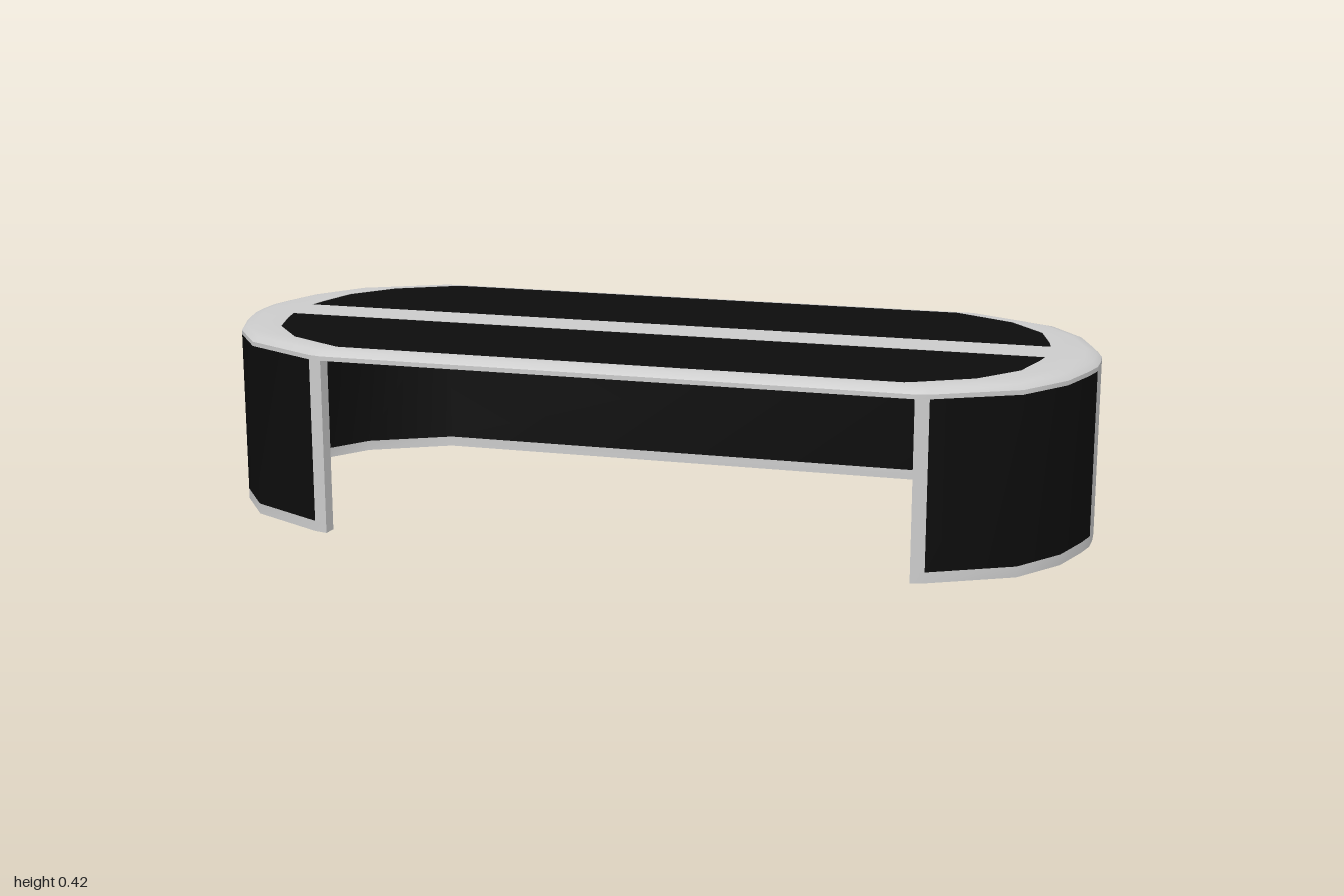
import * as THREE from 'three';
import { toCreasedNormals } from 'three/addons/utils/BufferGeometryUtils.js';

const grey = new THREE.MeshStandardMaterial({ color: 0xcccccc });
const black = new THREE.MeshStandardMaterial({ color: 0x0c0c0c });

// Plan outlines [x, z]: right half from front to back, mirrored to the left
const mirrorX = (half) => [...half, ...half.map(([x, z]) => [-x, z]).reverse()];
const outer = mirrorX([
  [0.66, 0.41], [0.69, 0.403], [0.87, 0.31], [0.95, 0.2], [0.985, 0.1], [0.998, 0.05], [1, 0],
  [0.998, -0.05], [0.985, -0.1], [0.95, -0.2], [0.87, -0.31], [0.67, -0.415],
]);
const quarter = [[0.63, 0.375], [0.64, 0.372], [0.77, 0.3], [0.85, 0.2], [0.877, 0.1], [0.886, 0.05]];
const inner = mirrorX([
  ...quarter, [0.886, 0],
  ...quarter.slice(2).reverse().map(([x, z]) => [x, -z]), [0.63, -0.378],
]);

// Move a closed outline inwards by d with mitred corners
function inset(points, d) {
  const n = points.length;
  const normal = (a, b) => new THREE.Vector2(a[1] - b[1], b[0] - a[0]).normalize();
  return points.map((p, i) => {
    const n1 = normal(points[(i + n - 1) % n], p);
    const n2 = normal(p, points[(i + 1) % n]);
    const m = n1.clone().add(n2).normalize();
    const k = d / m.dot(n1);
    return [p[0] - m.x * k, p[1] - m.y * k];
  });
}

// Skin a run of closed cross-sections, either as a loop or with capped ends
function skin(sections, closed) {
  const pos = [];
  const tri = (...v) => v.forEach((p) => pos.push(...p));
  const n = sections.length, m = sections[0].length;
  for (let i = 0; i < (closed ? n : n - 1); i++) {
    const s = sections[i], t = sections[(i + 1) % n];
    for (let j = 0; j < m; j++) {
      const k = (j + 1) % m;
      tri(s[j], t[j], t[k]);
      tri(s[j], t[k], s[k]);
    }
  }
  if (!closed) {
    const s = sections[0], e = sections[n - 1];
    for (let j = 1; j < m - 1; j++) {
      tri(s[0], s[j], s[j + 1]);
      tri(e[0], e[j + 1], e[j]);
    }
  }
  const g = new THREE.BufferGeometry();
  g.setAttribute('position', new THREE.Float32BufferAttribute(pos, 3));
  g.computeVertexNormals();
  return toCreasedNormals(g, 0.6);
}

export function createModel() {
  const model = new THREE.Group();
  const add = (name, geometry, material) => {
    const mesh = new THREE.Mesh(geometry, material);
    mesh.name = name;
    model.add(mesh);
    return mesh;
  };

  // Curved wall pieces follow the outline between two point indices
  const wallInside = inset(outer, 0.03);
  const wall = (name, from, to, y0, y1, material) => {
    const sections = [];
    for (let i = from; i <= to; i++) {
      const [ox, oz] = outer[i], [ix, iz] = wallInside[i];
      sections.push([[ox, y0, oz], [ox, y1, oz], [ix, y1, iz], [ix, y0, iz]]);
    }
    add(name, skin(sections, false), material);
  };
  const last = outer.length - 1;
  const low = 0.024, high = 0.396;
  wall('bottomRail', 0, last, 0, low, grey);
  wall('leftFrontPost', 0, 1, low, high, grey);
  wall('leftFrontPanel', 1, 5, low, high, black);
  wall('leftEndStrip', 5, 7, low, high, grey);
  wall('backPanel', 7, last - 7, low, high, black);
  wall('rightEndStrip', last - 7, last - 5, low, high, grey);
  wall('rightFrontPanel', last - 5, last - 1, low, high, black);
  wall('rightFrontPost', last - 1, last, low, high, grey);

  // Bevelled rim around the top
  const rings = [
    [outer, 0.396], [outer, 0.406], [inset(outer, 0.012), 0.417],
    [inset(outer, 0.034), 0.422], [inner, 0.422], [inner, 0.396],
  ];
  const rimSections = outer.map((_, i) => rings.map(([r, y]) => [r[i][0], y, r[i][1]]));
  add('topRim', skin(rimSections, true), grey);

  // Centre bar and the two inset top panels
  add('topCentreBar', new THREE.BoxGeometry(1.78, 0.026, 0.106), grey).position.set(0, 0.409, 0);
  for (const side of [1, -1]) {
    const edge = inner.filter(([, z]) => z * side > 0.04);
    const half = edge.sort((a, b) => Math.atan2(a[1] * side, a[0]) - Math.atan2(b[1] * side, b[0]));
    const shape = new THREE.Shape(half.map(([x, z]) => new THREE.Vector2(x, -z)));
    const geometry = new THREE.ExtrudeGeometry(shape, { depth: 0.022, bevelEnabled: false });
    geometry.rotateX(-Math.PI / 2).translate(0, 0.399, 0);
    add(side > 0 ? 'frontTopPanel' : 'backTopPanel', geometry, black);
  }
  return model;
}
